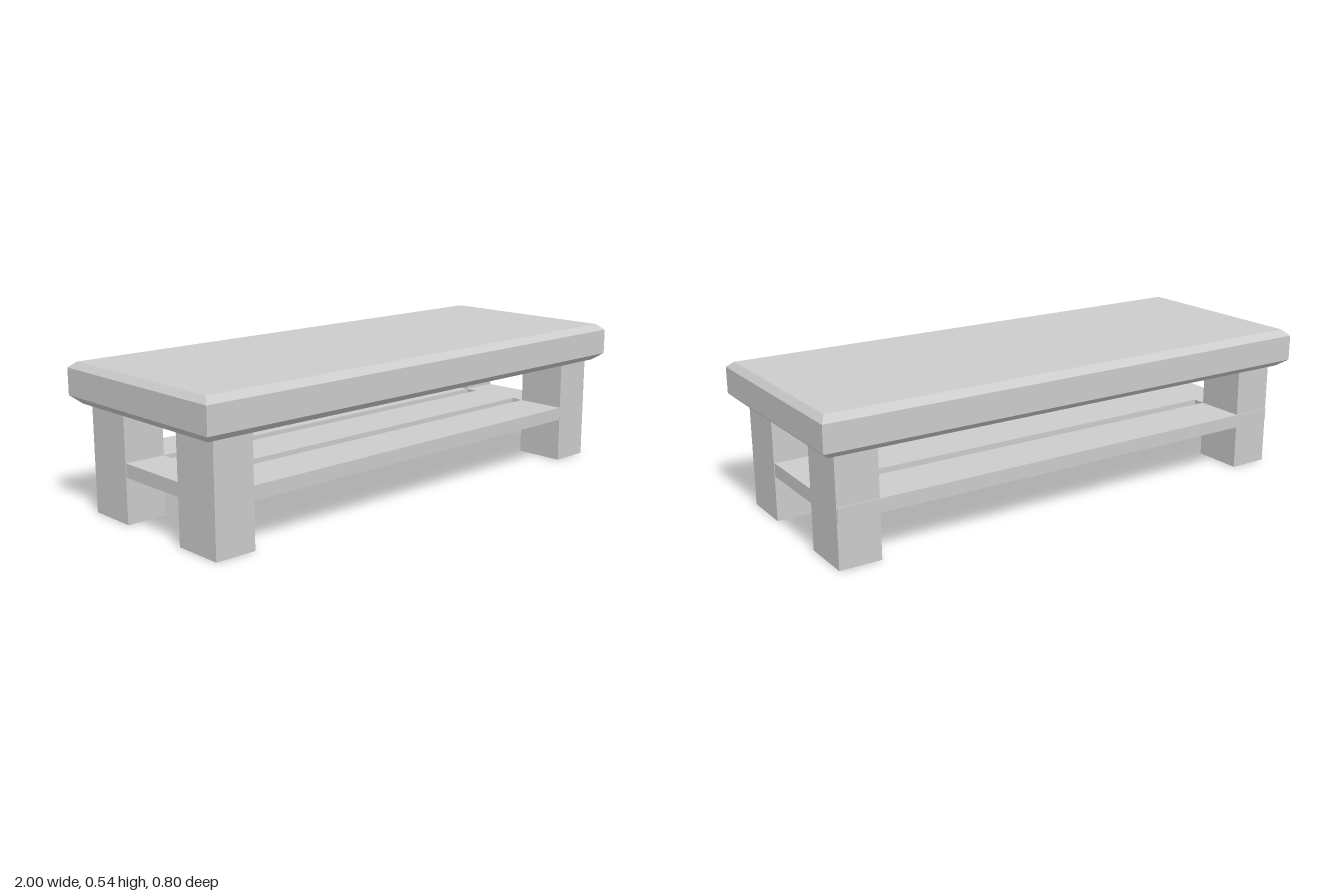
import * as THREE from 'three';

const material = new THREE.MeshStandardMaterial({ color: 0xcccccc, flatShading: true });

function add(parent, name, geometry) {
  const mesh = new THREE.Mesh(geometry, material);
  mesh.name = name;
  parent.add(mesh);
  return mesh;
}

// Rectangular slab whose outline changes with height: one [y, halfX, halfZ] per level
function bevelledSlab(levels) {
  const geometry = new THREE.BoxGeometry(2, levels.length - 1, 2, 1, levels.length - 1, 1);
  const p = geometry.attributes.position;
  for (let i = 0; i < p.count; i++) {
    const level = Math.round(p.getY(i) + (levels.length - 1) / 2);
    const [y, hx, hz] = levels[level];
    p.setXYZ(i, Math.sign(p.getX(i)) * hx, y, Math.sign(p.getZ(i)) * hz);
  }
  geometry.computeVertexNormals();
  return geometry;
}

// Traces a rectangle on a shape or path
function rectangle(path, x0, y0, x1, y1) {
  path.moveTo(x0, y0);
  path.lineTo(x1, y0);
  path.lineTo(x1, y1);
  path.lineTo(x0, y1);
  path.closePath();
  return path;
}

export function createModel() {
  const table = new THREE.Group();
  table.name = 'lowTable';

  // Thick top, bevelled above and below
  add(table, 'tableTop', bevelledSlab([
    [0.395, 0.97, 0.36],
    [0.423, 1, 0.399],
    [0.52, 1, 0.399],
    [0.542, 0.979, 0.369],
  ]));

  // Four square-cut legs
  for (const [side, sx] of [['left', 1], ['right', -1]]) {
    for (const [end, z] of [['Front', 0.25], ['Back', -0.248]]) {
      const leg = add(table, `${side}${end}Leg`, new THREE.BoxGeometry(0.155, 0.397, 0.195));
      leg.position.set(sx * 0.865, 0.1985, z);
    }
  }

  // Lower shelf: three planks joined at the ends, with two long gaps between
  const shelf = rectangle(new THREE.Shape(), -0.94, -0.347, 0.94, 0.35);
  for (const s of [-1, 1]) {
    shelf.holes.push(rectangle(new THREE.Path(), -0.79, s * 0.125 - 0.025, 0.79, s * 0.125 + 0.025));
  }
  const shelfGeometry = new THREE.ExtrudeGeometry(shelf, { depth: 0.05, bevelEnabled: false });
  shelfGeometry.rotateX(-Math.PI / 2);
  add(table, 'lowerShelf', shelfGeometry).position.y = 0.168;

  return table;
}
